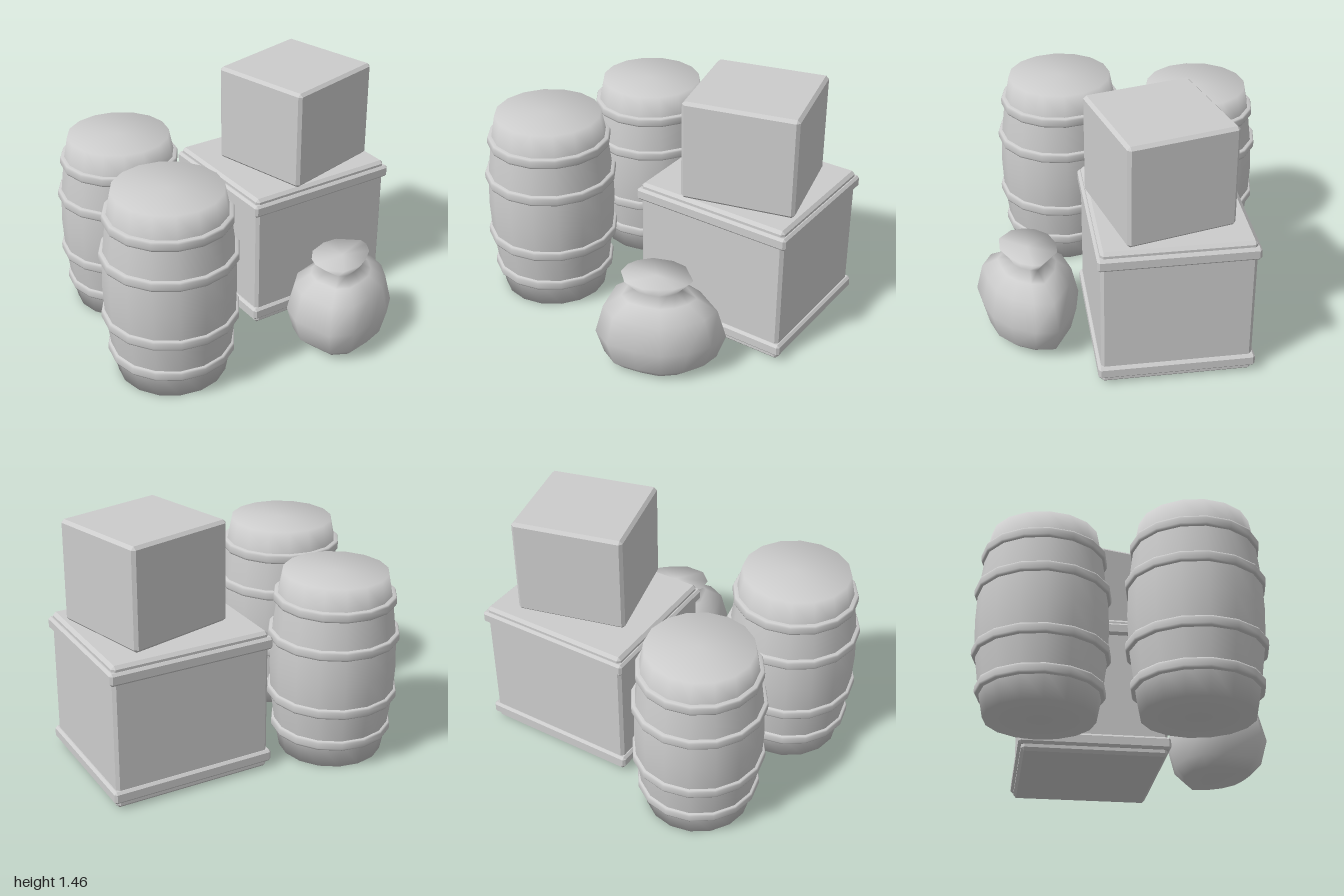
import * as THREE from 'three';
import { ConvexGeometry } from 'three/addons/geometries/ConvexGeometry.js';

const grey = new THREE.MeshStandardMaterial({ color: 0xcccccc });
grey.name = 'plain grey';

function addMesh(parent, name, geometry) {
  const mesh = new THREE.Mesh(geometry, grey);
  mesh.name = name;
  parent.add(mesh);
  return mesh;
}

// Box with flat chamfered edges, centred on the origin
function chamferBox(w, h, d, c) {
  const points = [];
  for (const x of [-1, 1]) for (const y of [-1, 1]) for (const z of [-1, 1]) {
    for (let axis = 0; axis < 3; axis++) {
      const inset = [0, 1, 2].map(i => (i === axis ? 0 : c));
      points.push(new THREE.Vector3(
        x * (w / 2 - inset[0]), y * (h / 2 - inset[1]), z * (d / 2 - inset[2])));
    }
  }
  return new ConvexGeometry(points);
}

function lathe(profile, sides = 16) {
  return new THREE.LatheGeometry(profile.map(p => new THREE.Vector2(...p)), sides);
}

// Bulging barrel with four hoops
function createBarrel(name) {
  const barrel = new THREE.Group();
  barrel.name = name;
  addMesh(barrel, 'barrelBody', lathe([
    [0, 0], [0.315, 0], [0.346, 0.165], [0.375, 0.39], [0.383, 0.58],
    [0.375, 0.77], [0.346, 1.0], [0.315, 1.16], [0, 1.16],
  ]));
  for (const [y, r] of [[0.165, 0.367], [0.39, 0.395], [0.77, 0.395], [1.0, 0.367]]) {
    const hoop = addMesh(barrel, 'hoop', lathe([
      [r - 0.035, -0.03], [r - 0.006, -0.028], [r, -0.016],
      [r, 0.016], [r - 0.006, 0.028], [r - 0.035, 0.03],
    ]));
    hoop.position.y = y;
  }
  return barrel;
}

// Lopsided tied sack made from stacked rings
function createSack() {
  const cx = 0.39, cz = 0.6;
  const belly = [
    [0.06, 0.6], [0.1, 0.46], [0.2, 0.36], [0.38, 0.31], [0.55, 0.34], [0.765, 0.46],
    [0.75, 0.59], [0.68, 0.72], [0.57, 0.82], [0.42, 0.87], [0.26, 0.9], [0.13, 0.835],
  ];
  const rim = [
    [0.19, 0.6], [0.21, 0.54], [0.27, 0.47], [0.38, 0.43], [0.47, 0.435], [0.585, 0.53],
    [0.585, 0.58], [0.55, 0.65], [0.48, 0.71], [0.4, 0.755], [0.28, 0.755], [0.2, 0.68],
  ];
  const rings = [
    [belly, 0, 0.67], [belly, 0.06, 0.87], [belly, 0.21, 1], [belly, 0.375, 0.87],
    [belly, 0.44, 0.57], [belly, 0.48, 0.35], [rim, 0.555, 1],
  ];
  const n = belly.length;
  const positions = [], index = [];
  for (const [outline, y, s] of rings) {
    for (const [x, z] of outline) positions.push(cx + (x - cx) * s, y, cz + (z - cz) * s);
  }
  const bottom = rings.length * n, top = bottom + 1, last = (rings.length - 1) * n;
  positions.push(cx, 0, cz, cx, 0.555, cz);
  for (let k = 0; k < n; k++) {
    const next = (k + 1) % n;
    for (let r = 0; r < rings.length - 1; r++) {
      const a = r * n + k, b = r * n + next;
      index.push(a, a + n, b, b, a + n, b + n);
    }
    index.push(bottom, k, next, top, last + next, last + k);
  }
  const geometry = new THREE.BufferGeometry();
  geometry.setAttribute('position', new THREE.Float32BufferAttribute(positions, 3));
  geometry.setIndex(index);
  geometry.computeVertexNormals();
  return geometry;
}

export function createModel() {
  const model = new THREE.Group();
  model.name = 'cargoPile';

  // Barrels on the model's right side
  const frontBarrel = createBarrel('frontBarrel');
  frontBarrel.position.set(-0.605, 0, 0.305);
  const backBarrel = createBarrel('backBarrel');
  backBarrel.position.set(-0.455, 0, -0.53);
  backBarrel.scale.set(0.97, 0.957, 0.97);
  model.add(frontBarrel, backBarrel);

  // Large crate with a band at the top and the bottom
  const crate = new THREE.Group();
  crate.name = 'largeCrate';
  crate.position.set(0.5, 0, -0.177);
  addMesh(crate, 'crateBody', chamferBox(0.95, 0.86, 0.85, 0.018)).position.y = 0.43;
  for (const y of [0.075, 0.79]) {
    addMesh(crate, 'crateBand', chamferBox(0.99, 0.075, 0.885, 0.014)).position.y = y;
  }
  model.add(crate);

  // Smaller crate turned on top
  const topCrate = addMesh(model, 'smallCrate', chamferBox(0.665, 0.6, 0.635, 0.018));
  topCrate.position.set(0.552, 1.16, -0.13);
  topCrate.rotation.y = THREE.MathUtils.degToRad(14);

  addMesh(model, 'sack', createSack());
  return model;
}
